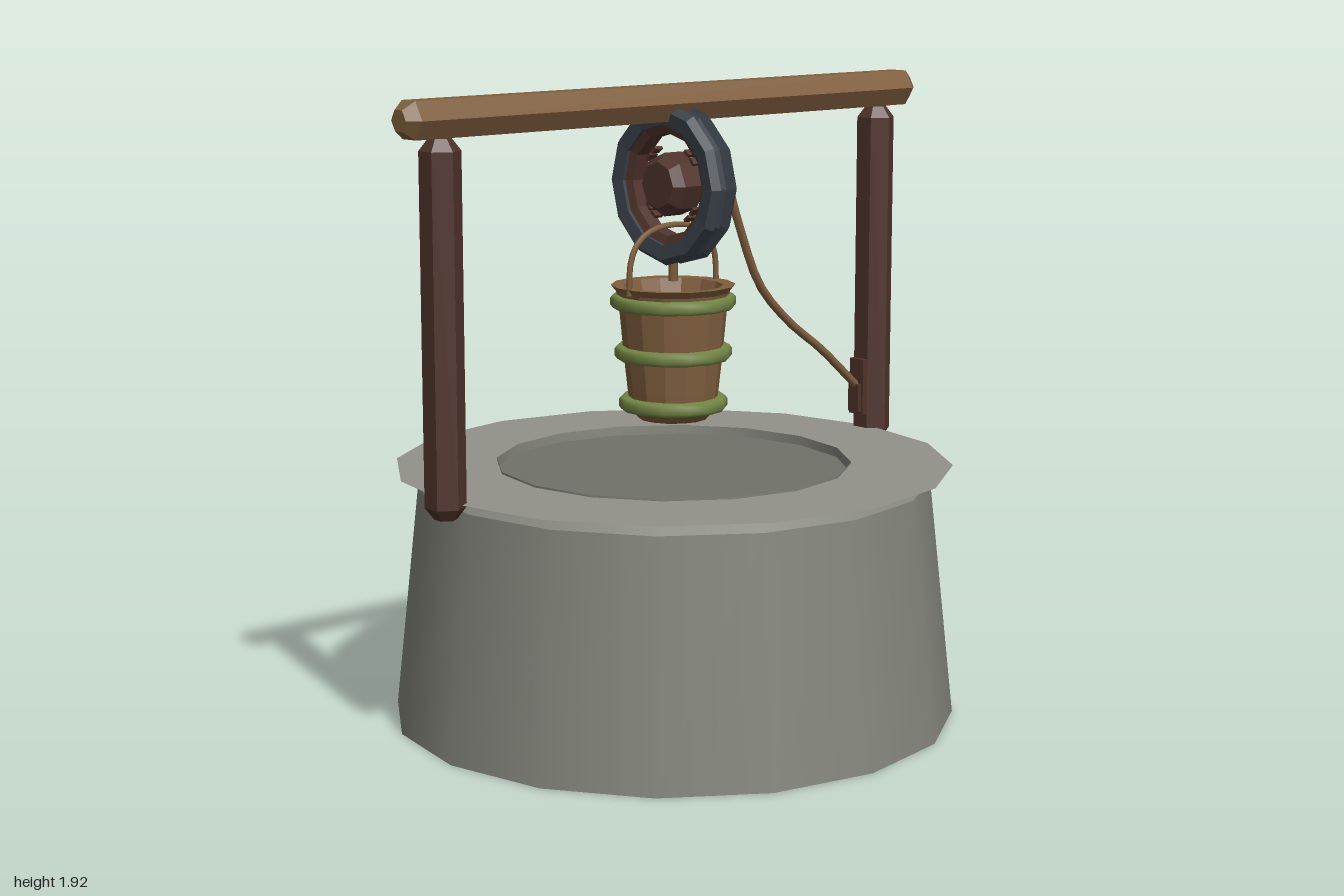
import * as THREE from 'three';

const mat = (name, color, side = THREE.DoubleSide) => {
  const m = new THREE.MeshStandardMaterial({ color, side });
  m.name = name;
  return m;
};

export function createModel() {
  const model = new THREE.Group();
  model.name = 'well';
  const stone = mat('stone', 0x92928a);
  const darkStone = mat('dark stone', 0x70726a);
  const wall = mat('wall stone', 0x84867c);
  const wood = mat('light wood', 0x805f3e);
  const darkWood = mat('dark wood', 0x50332b);
  const iron = mat('dark iron', 0x3c444c);
  const green = mat('green hoop', 0x728644);

  const add = (name, geo, material, x = 0, y = 0, z = 0, parent = model) => {
    const mesh = new THREE.Mesh(geo, material);
    mesh.name = name;
    mesh.position.set(x, y, z);
    parent.add(mesh);
    return mesh;
  };
  const lathe = (pts, sides) =>
    new THREE.LatheGeometry(pts.map(([r, y]) => new THREE.Vector2(r, y)), sides);
  const flat = (geo) => {
    const g = geo.toNonIndexed();
    g.computeVertexNormals();
    return g;
  };
  // Six-sided timber with tapered ends, centred and lying along y
  const timber = (length, r) => {
    const h = length / 2, tip = r * 0.55, s = h - 0.035;
    return flat(lathe([[0, -h], [tip, -h], [r, -s], [r, s], [tip, h], [0, h]], 6));
  };
  const tube = (pts, r, n) => new THREE.TubeGeometry(
    new THREE.CatmullRomCurve3(pts.map(([x, y]) => new THREE.Vector3(x, y, 0)), false, 'centripetal'),
    n, r, 6);

  // Stone ring: tapered wall, chamfer, flat coping and inner shaft
  add('outerWall', new THREE.CylinderGeometry(0.78, 0.86, 0.73, 16, 1, true), wall, 0, 0.365);
  add('wallChamfer', new THREE.CylinderGeometry(0.73, 0.78, 0.04, 16, 1, true), wall, 0, 0.75);
  const coping = new THREE.RingGeometry(0.54, 0.848, 16);
  coping.rotateX(-Math.PI / 2);
  add('coping', coping, stone, 0, 0.774);
  add('shaft', new THREE.CylinderGeometry(0.54, 0.5, 0.61, 16, 1, true), wall, 0, 0.475);
  const cover = new THREE.CircleGeometry(0.536, 16);
  cover.rotateX(-Math.PI / 2);
  add('shaftCover', cover, darkStone, 0, 0.752);

  // Timber frame
  for (const s of [-1, 1]) {
    add(s > 0 ? 'leftPost' : 'rightPost', timber(1.08, 0.06), darkWood, s * 0.862, 1.27);
  }
  const beam = add('crossBeam', timber(2, 0.062), wood, 0, 1.865);
  beam.rotation.z = Math.PI / 2;

  // Pulley wheel turning about x
  const pulley = new THREE.Group();
  pulley.name = 'pulley';
  pulley.position.y = 1.622;
  pulley.rotation.z = Math.PI / 2;
  model.add(pulley);
  const tyre = [[0.18, -0.045], [0.225, -0.05], [0.243, -0.028], [0.215, -0.016], [0.235, 0],
    [0.215, 0.016], [0.243, 0.028], [0.225, 0.05], [0.18, 0.045], [0.18, -0.045]];
  add('tyre', flat(lathe(tyre, 12)), iron, 0, 0, 0, pulley);
  const rim = [[0.155, -0.025], [0.183, -0.035], [0.183, 0.035], [0.155, 0.025], [0.155, -0.025]];
  add('rim', flat(lathe(rim, 12)), darkWood, 0, 0, 0, pulley);
  const hub = [[0, -0.063], [0.07, -0.063], [0.095, -0.035], [0.095, 0.035], [0.07, 0.063], [0, 0.063]];
  add('hub', flat(lathe(hub, 8)), darkWood, 0, 0, 0, pulley);
  for (let i = 0; i < 8; i++) {
    const a = Math.PI / 4 + Math.floor(i / 2) * Math.PI / 2 + (i % 2 ? 0.13 : -0.13);
    const peg = add('spokePeg', new THREE.BoxGeometry(0.01, 0.03, 0.024), darkWood,
      Math.cos(a) * 0.122, 0, Math.sin(a) * 0.122, pulley);
    peg.rotation.y = -a;
  }

  // Hanging rope and the loose rope tied to the left post
  add('hangingRope', new THREE.CylinderGeometry(0.014, 0.014, 0.1, 6), wood, 0, 1.38);
  add('looseRope', tube([[0.218, 1.62], [0.28, 1.45], [0.36, 1.28], [0.49, 1.15],
    [0.63, 1.05], [0.8, 0.905]], 0.013, 15), wood);
  add('cleat', new THREE.BoxGeometry(0.025, 0.18, 0.06), darkWood, 0.803, 0.91);
  add('cleatKnob', new THREE.BoxGeometry(0.018, 0.09, 0.045), darkWood, 0.786, 0.875);

  // Hollow bucket with hoops and handle
  const bucket = new THREE.Group();
  bucket.name = 'bucket';
  model.add(bucket);
  const body = [[0, 0.912], [0.105, 0.912], [0.13, 0.94], [0.138, 1], [0.15, 1.11], [0.165, 1.27],
    [0.172, 1.3], [0.188, 1.32], [0.15, 1.318], [0.135, 1.27], [0.11, 0.96], [0, 0.96]];
  add('bucketBody', flat(lathe(body, 14)), wood, 0, 0, 0, bucket);
  for (const [y, r] of [[1.27, 0.19], [1.115, 0.178], [0.96, 0.165]]) {
    const hoop = [[r - 0.035, -0.02], [r - 0.008, -0.02], [r, -0.01], [r, 0.01],
      [r - 0.008, 0.02], [r - 0.035, 0.02]];
    add('hoop', lathe(hoop, 14), green, 0, y, 0, bucket);
  }
  add('handle', tube([[-0.175, 1.3], [-0.168, 1.4], [-0.14, 1.455], [-0.085, 1.488], [0, 1.5],
    [0.085, 1.488], [0.14, 1.455], [0.168, 1.4], [0.175, 1.3]], 0.009, 20), wood, 0, 0, 0, bucket);

  return model;
}
